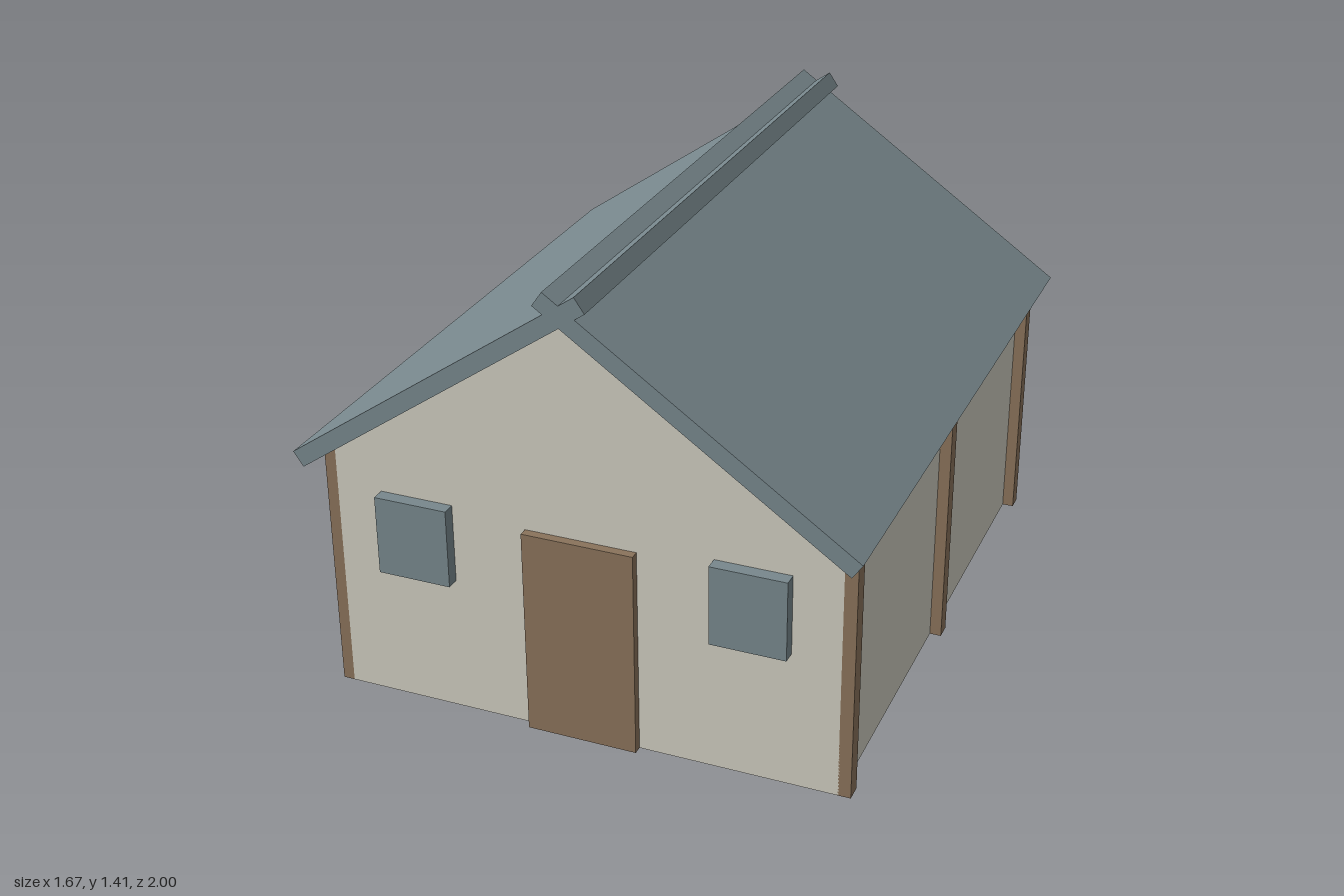
import * as THREE from 'three';

const plaster = new THREE.MeshStandardMaterial({ color: 0xcfccc0 });
const wood = new THREE.MeshStandardMaterial({ color: 0x8a735b });
const slate = new THREE.MeshStandardMaterial({ color: 0x78888d });

export function createModel() {
  const house = new THREE.Group();
  house.name = 'house';

  const addBox = (name, material, size, position) => {
    const mesh = new THREE.Mesh(new THREE.BoxGeometry(...size), material);
    mesh.name = name;
    mesh.position.set(...position);
    house.add(mesh);
    return mesh;
  };

  // Solid body with gabled ends
  const halfWidth = 0.76, halfDepth = 0.905;
  const gable = new THREE.Shape([
    new THREE.Vector2(-halfWidth, 0),
    new THREE.Vector2(halfWidth, 0),
    new THREE.Vector2(halfWidth, 0.79),
    new THREE.Vector2(0, 1.32),
    new THREE.Vector2(-halfWidth, 0.79),
  ]);
  const bodyGeometry = new THREE.ExtrudeGeometry(gable, { depth: 2 * halfDepth, bevelEnabled: false });
  bodyGeometry.translate(0, 0, -halfDepth);
  const body = new THREE.Mesh(bodyGeometry, plaster);
  body.name = 'walls';
  house.add(body);

  for (const side of [-1, 1]) {
    const label = side > 0 ? 'left' : 'right';

    // Roof slabs cross each other at the ridge
    const slab = addBox(label + 'RoofSlab', slate, [1.072, 0.052, 2], [side * 0.38, 1.084, 0]);
    slab.rotation.z = -side * THREE.MathUtils.degToRad(34.8);

    // Posts along the side wall
    [['Back', -0.88], ['Middle', 0], ['Front', 0.88]].forEach(([place, z]) =>
      addBox(label + place + 'Post', wood, [0.038, 0.785, 0.05], [side * 0.776, 0.3925, z]));

    // Front shutter
    addBox(label + 'Window', slate, [0.224, 0.243, 0.04], [side * 0.505 - 0.002, 0.547, 0.925]);
  }

  // Front door
  addBox('door', wood, [0.335, 0.64, 0.028], [-0.002, 0.32, 0.918]);

  return house;
}
